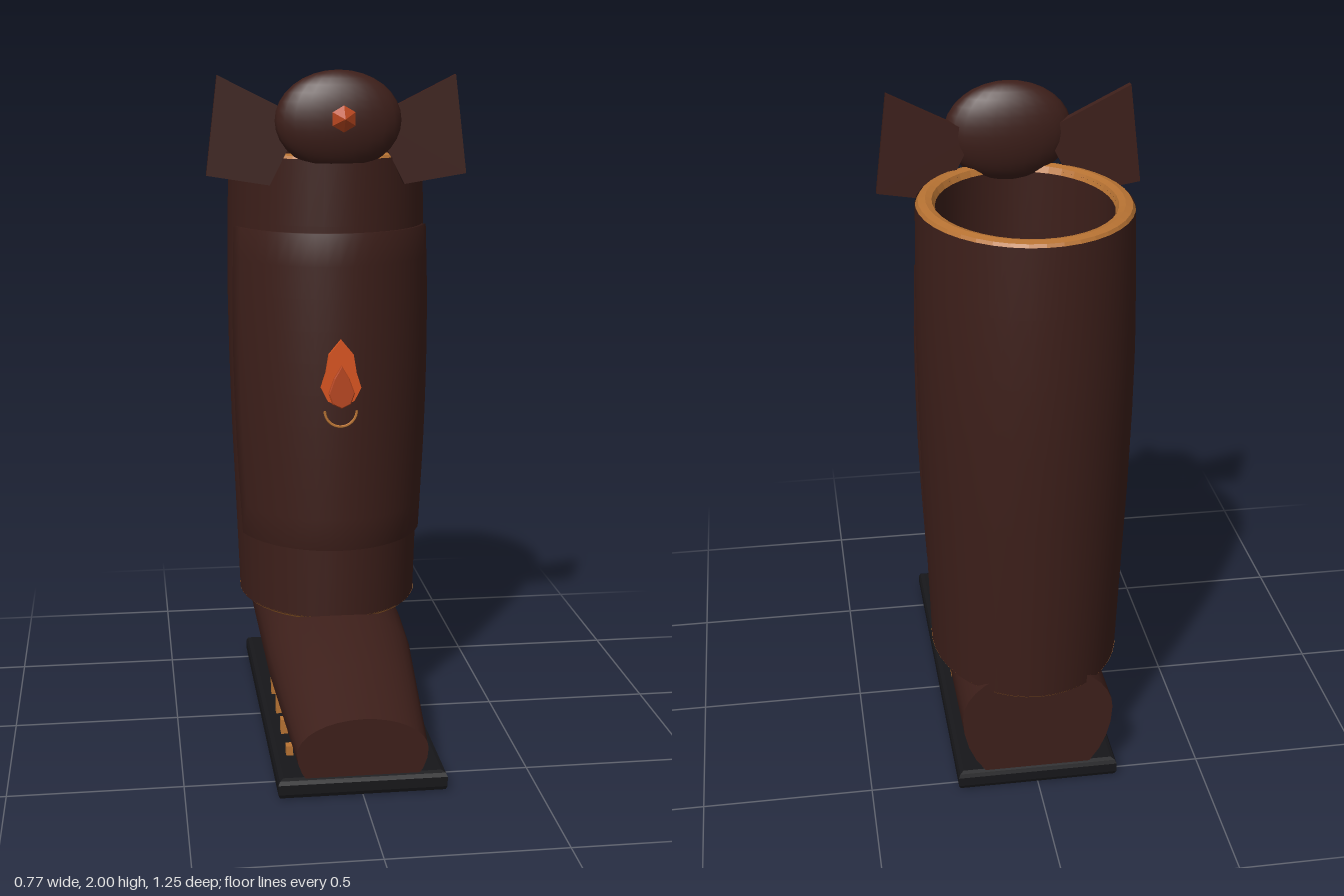
import * as THREE from 'three';

const paint = (color, flatShading = false) =>
  new THREE.MeshStandardMaterial({ color, flatShading, side: THREE.DoubleSide });
const leather = paint(0x3d1f1a), leatherFlat = paint(0x3d1f1a, true);
const rubber = paint(0x17171a, true), copper = paint(0xb87333, true);
const flame = paint(0xd9541e, true), ember = paint(0xb8461f, true);

function add(parent, name, geometry, material, x = 0, y = 0, z = 0) {
  const mesh = new THREE.Mesh(geometry, material);
  mesh.name = name;
  mesh.position.set(x, y, z);
  parent.add(mesh);
  return mesh;
}

// Skin a list of cross-sections; each row is a list of [x, y, z]
function loft(rows, wrap = true) {
  const n = rows[0].length, index = [];
  for (let i = 0; i < rows.length - 1; i++) {
    for (let j = 0; j < (wrap ? n : n - 1); j++) {
      const k = (j + 1) % n, a = i * n, b = a + n;
      index.push(a + j, a + k, b + k, a + j, b + k, b + j);
    }
  }
  const g = new THREE.BufferGeometry();
  g.setAttribute('position', new THREE.Float32BufferAttribute(rows.flat(2), 3));
  g.setIndex(index);
  g.computeVertexNormals();
  return g;
}

// Interpolate key rows [at, ...values] sorted by their first entry
function sample(keys, at) {
  let i = 0;
  while (i < keys.length - 2 && at > keys[i + 1][0]) i++;
  const a = keys[i], b = keys[i + 1];
  const f = THREE.MathUtils.clamp((at - a[0]) / (b[0] - a[0]), 0, 1);
  return a.slice(1).map((v, k) => THREE.MathUtils.lerp(v, b[k + 1], f));
}

// Shaft oval: height, half width, back z (the front stays at z = 0.11)
const shaftKeys = [[0.345, 0.28, -0.58], [0.6, 0.289, -0.594], [0.9, 0.3, -0.612],
  [1.15, 0.306, -0.623], [1.35, 0.308, -0.625], [1.55, 0.305, -0.618], [1.745, 0.3, -0.606]];
function shaftPoint(y, t, off) {
  const [hx, zb] = sample(shaftKeys, y);
  return [(hx + off) * Math.sin(t), y, (0.11 + zb) / 2 + ((0.11 - zb) / 2 + off) * Math.cos(t)];
}
const SIDES = 40;
const shaftRow = (y, off) =>
  Array.from({ length: SIDES }, (_, j) => shaftPoint(y, (j / SIDES) * Math.PI * 2, off));

function buildShaft(boot) {
  const shaft = new THREE.Group();
  shaft.name = 'shaft';
  boot.add(shaft);
  const ys = shaftKeys.map(k => k[0]);
  add(shaft, 'shaftOuter', loft(ys.map(y => shaftRow(y, 0))), leather);
  add(shaft, 'shaftLining', loft([...ys].reverse().map(y => shaftRow(y, -0.05))), leather);
  add(shaft, 'topTrim', loft([[1.738, 0], [1.753, -0.008], [1.758, -0.028], [1.753, -0.046], [1.735, -0.055]]
    .map(([y, o]) => shaftRow(y, o))), copper);
  add(shaft, 'bottomTrim', loft([[0.357, -0.054], [0.34, -0.046], [0.335, -0.028], [0.338, -0.008], [0.348, 0.001]]
    .map(([y, o]) => shaftRow(y, o))), copper);

  // Raised guard wrapped round the front, its border tucked into the leather
  const rows = [], levels = 10, steps = 20, reach = 1.2;
  for (let i = 0; i <= levels + 2; i++) {
    const f = THREE.MathUtils.clamp((i - 1) / levels, 0, 1);
    const y = 0.565 + 0.965 * f, row = [];
    for (let j = 0; j <= steps + 2; j++) {
      const t = reach * (2 * THREE.MathUtils.clamp((j - 1) / steps, 0, 1) - 1);
      const border = i === 0 || j === 0 || i === levels + 2 || j === steps + 2;
      row.push(shaftPoint(y, t, border ? -0.005 : 0.012 + 0.007 * Math.sin(f * Math.PI)));
    }
    rows.push(row);
  }
  add(shaft, 'shinGuard', loft(rows, false), leather);
}

// Foot sections: z, half width, height of widest point, top
const footKeys = [[-0.53, 0.225, 0.25, 0.41], [-0.1, 0.225, 0.24, 0.392], [0.1, 0.222, 0.22, 0.357],
  [0.35, 0.205, 0.175, 0.294], [0.615, 0.187, 0.13, 0.227]];

function buildFoot(boot) {
  const rows = [...footKeys].reverse().map(([z, hw, mid, top]) =>
    Array.from({ length: 32 }, (_, j) => {
      const t = (j / 32) * Math.PI * 2, c = Math.cos(t);
      return [hw * Math.sin(t), Math.max(0.03, mid + (c > 0 ? top - mid : mid + 0.02) * c), z];
    }));
  const hub = row => row.map(p => [0, 0.13, p[2]]);
  const heel = rows[rows.length - 1];
  add(boot, 'foot', loft(rows), leather);
  add(boot, 'toeFace', loft([hub(rows[0]), rows[0]]), leather);
  add(boot, 'heelFace', loft([heel, hub(heel)]), leather);

  // Sole with bevelled edges
  const outline = new THREE.Shape([[-0.225, -0.525], [0.225, -0.525], [0.225, 0.61], [-0.225, 0.61]]
    .map(([x, z]) => new THREE.Vector2(x, -z)));
  const sole = new THREE.ExtrudeGeometry(outline, {
    depth: 0.028, bevelThickness: 0.016, bevelSize: 0.016, bevelSegments: 2 });
  sole.rotateX(-Math.PI / 2);
  add(boot, 'sole', sole, rubber, 0, 0.016, 0);

  // Metal strips along both sides, growing towards the heel
  for (const side of [-1, 1]) {
    for (let i = 0; i < 4; i++) {
      const z = -0.022 + 0.156 * i, top = 0.136 - 0.016 * i;
      add(boot, 'sideStrip', new THREE.BoxGeometry(0.02, top - 0.05, 0.03), copper,
        side * 0.192, (top + 0.05) / 2, z);
    }
  }
}

// Flat plate from an outline of [x, y] points
function plate(points, depth, bevel = 0) {
  const shape = new THREE.Shape(points.map(([x, y]) => new THREE.Vector2(x, y)));
  return new THREE.ExtrudeGeometry(shape, { depth, bevelEnabled: bevel > 0,
    bevelThickness: bevel, bevelSize: bevel, bevelSegments: 1 });
}
const mirrored = half => [...half, ...half.slice(1, -1).reverse().map(([x, y]) => [-x, y])];

function buildCrest(boot) {
  const crest = new THREE.Group();
  crest.name = 'crest';
  boot.add(crest);
  add(crest, 'crestBody', new THREE.SphereGeometry(1, 24, 16), leather, 0, 1.855, 0.07)
    .scale.set(0.186, 0.145, 0.073);
  for (const s of [-1, 1]) {
    const wing = [[0.1, 1.86], [0.2, 1.667], [0.385, 1.697], [0.35, 1.985]].map(([x, y]) => [s * x, y]);
    add(crest, 'wing', plate(wing, 0.024), leatherFlat, 0, 0, 0.027);
  }
  // Faceted stone floating in front of the crest
  const stone = new THREE.LatheGeometry(
    [[0, -0.028], [0.022, -0.018], [0.038, 0], [0, 0.032]].map(([r, h]) => new THREE.Vector2(r, h)), 6);
  stone.rotateX(Math.PI / 2);
  add(crest, 'stone', stone, ember, 0, 1.865, 0.197);
}

function buildEmblem(boot) {
  const emblem = new THREE.Group();
  emblem.name = 'flameOrnament';
  boot.add(emblem);
  const outer = mirrored([[0, 1.015], [0.04, 1.035], [0.06, 1.075], [0.046, 1.12], [0.037, 1.175], [0, 1.22]]);
  const inner = mirrored([[0, 1.018], [0.025, 1.03], [0.036, 1.06], [0.02, 1.105], [0, 1.14]]);
  add(emblem, 'outerFlame', plate(outer, 0.022), flame, 0, 0, 0.119);
  add(emblem, 'innerFlame', plate(inner, 0.01, 0.003), ember, 0, 0, 0.143);
  const ring = add(emblem, 'flameCup', new THREE.TorusGeometry(0.048, 0.004, 6, 20, Math.PI), copper, 0, 1.003, 0.13);
  ring.rotation.z = Math.PI;
}

export function createModel() {
  const boot = new THREE.Group();
  boot.name = 'boot';
  buildShaft(boot);
  buildFoot(boot);
  buildCrest(boot);
  buildEmblem(boot);
  // Centre the sole and crest on z
  return boot;
}
